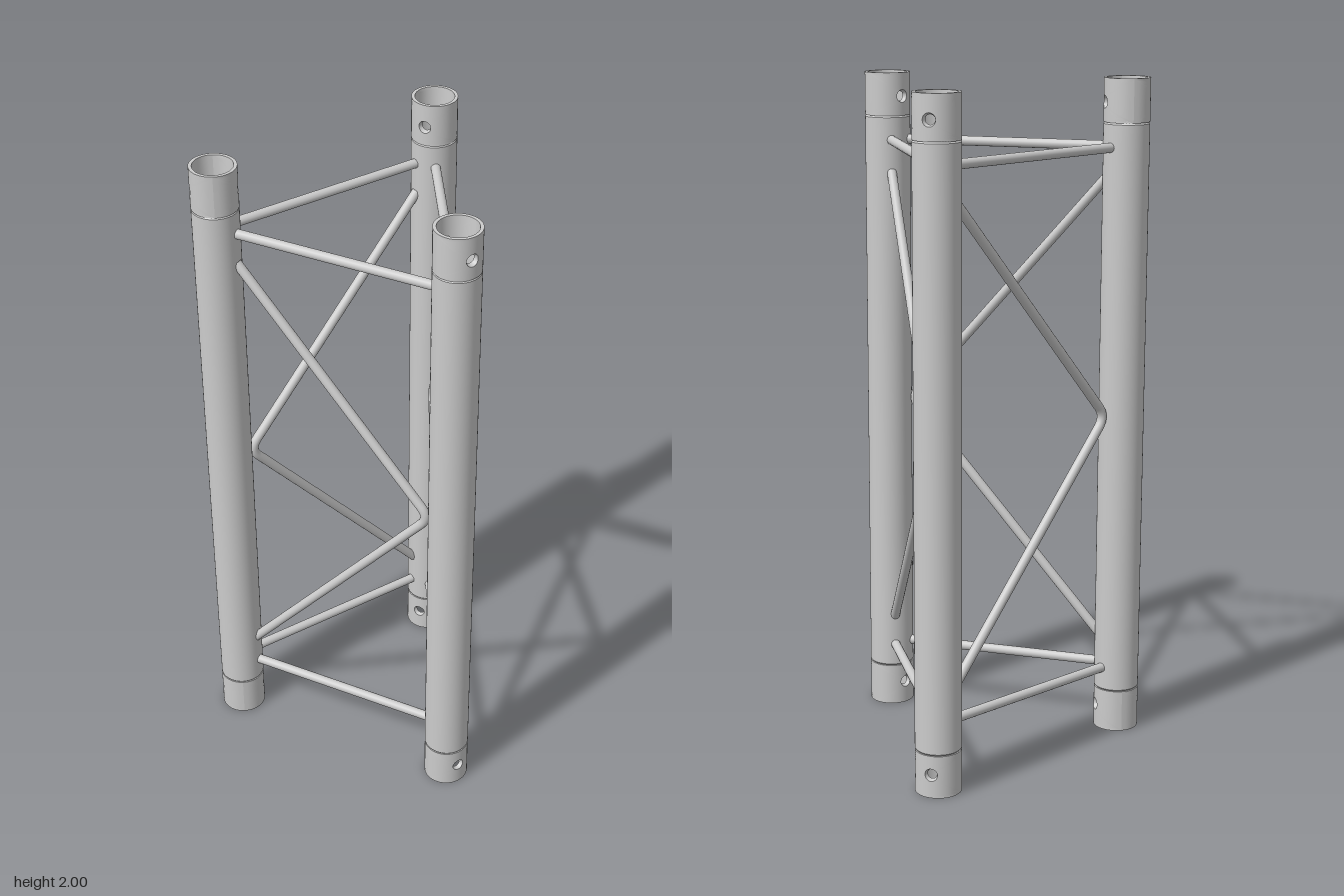
import * as THREE from 'three';
import { mergeGeometries, toCreasedNormals } from 'three/addons/utils/BufferGeometryUtils.js';
import { ParametricGeometry } from 'three/addons/geometries/ParametricGeometry.js';

const R = 0.068;            // chord radius
const BORE = 0.052;         // bore radius
const MOUTH = 0.058;        // bore radius at the open ends
const COLLAR = 0.128;       // collar height
const BAR = 0.0145;         // brace radius
const SEGMENTS = 48;
const material = new THREE.MeshStandardMaterial({ color: 0xcccccc, side: THREE.DoubleSide });
const { lerp } = THREE.MathUtils;

// Crease at a larger scale so that tiny features keep separate vertices.
function crease(geometry) {
  geometry.scale(100, 100, 100);
  return toCreasedNormals(geometry, 0.6).scale(0.01, 0.01, 0.01);
}

function lathe(points) {
  return crease(new THREE.LatheGeometry(points.map(([r, y]) => new THREE.Vector2(r, y)), SEGMENTS));
}

function mesh(name, geometry) {
  const m = new THREE.Mesh(geometry, material);
  m.name = name;
  return m;
}

// Point on the unit square's outline, evenly spaced along each side.
function squarePoint(a) {
  const c = Math.cos(a), s = Math.sin(a);
  return Math.abs(c) >= Math.abs(s)
    ? [Math.sign(c), Math.atan(s / c) * 4 / Math.PI * Math.sign(c)]
    : [Math.atan(c / s) * 4 / Math.PI * Math.sign(s), Math.sign(s)];
}

// Half of a collar wall: bore side, pin hole wall, then outer side.
function halfCollar() {
  const rings = 8, steps = 2 * rings + 1;
  return new ParametricGeometry((u, v, target) => {
    const a = -2 * Math.PI * u;
    const k = Math.round(v * steps);
    const outside = k > rings;
    const t = ((outside ? k - rings - 1 : rings - k) / rings) ** 1.3;
    const hole = outside ? 0.019 : 0.014;
    const [sx, sy] = squarePoint(a);
    const y = lerp(0.07 + hole * Math.sin(a), (sy + 1) * COLLAR / 2, t);
    const r = outside ? R : lerp(MOUTH, BORE, y / COLLAR);
    const phi = lerp(hole / r * Math.cos(a), sx * Math.PI / 2, t);
    target.set(r * Math.sin(phi), y, r * Math.cos(phi));
  }, 96, steps);
}

function collarGeometry() {
  return mergeGeometries([
    crease(halfCollar()),
    crease(halfCollar().rotateY(Math.PI)),
    lathe([[MOUTH, 0], [R, 0]]),
    lathe([[R, COLLAR], [BORE, COLLAR]]),
  ]);
}

// Straight horizontal bar between two points.
function bar(a, b) {
  return new THREE.TubeGeometry(new THREE.LineCurve3(a, b), 1, BAR, 16, false);
}

// One rod bent into a V with a small rounded corner.
function bentRod(start, corner, end) {
  const before = corner.clone().lerp(start, 0.045);
  const after = corner.clone().lerp(end, 0.045);
  const path = new THREE.CurvePath();
  path.add(new THREE.LineCurve3(start, before));
  path.add(new THREE.QuadraticBezierCurve3(before, corner, after));
  path.add(new THREE.LineCurve3(after, end));
  return new THREE.TubeGeometry(path, 160, BAR, 16, false);
}

export function createModel() {
  const group = new THREE.Group();
  group.name = 'triangularTruss';

  const chordShape = lathe([
    [BORE, COLLAR], [0.064, COLLAR], [R, COLLAR + 0.005],
    [R, 1.995 - COLLAR], [0.064, 2 - COLLAR], [BORE, 2 - COLLAR], [BORE, COLLAR],
  ]);
  const collarShape = collarGeometry();

  // Three chords, pin holes pointing away from the middle of the triangle
  const centres = [];
  for (let i = 0; i < 3; i++) {
    const angle = i * 2 * Math.PI / 3;
    const centre = new THREE.Vector3(0.427 * Math.sin(angle), 0, 0.427 * Math.cos(angle) - 0.107);
    centres.push(centre);

    const chord = new THREE.Group();
    chord.name = 'chord' + (i + 1);
    chord.position.copy(centre);
    chord.rotation.y = angle;
    const top = mesh('topCollar', collarShape);
    top.position.y = 2;
    top.rotation.z = Math.PI;
    chord.add(mesh('mainTube', chordShape), mesh('bottomCollar', collarShape), top);
    group.add(chord);
  }

  // Bracing on each face: two cross bars and one bent diagonal
  for (let i = 0; i < 3; i++) {
    const from = centres[i], to = centres[(i + 1) % 3];
    const along = to.clone().sub(from).normalize();
    const onFrom = (y, gap) => from.clone().addScaledVector(along, gap).setY(y);
    const onTo = (y, gap) => to.clone().addScaledVector(along, -gap).setY(y);

    const face = new THREE.Group();
    face.name = 'faceBracing' + (i + 1);
    face.add(
      mesh('lowerBar', bar(onFrom(0.2, 0.06), onTo(0.2, 0.06))),
      mesh('upperBar', bar(onFrom(1.8, 0.06), onTo(1.8, 0.06))),
      mesh('diagonalRod', bentRod(onFrom(1.705, 0.06), onTo(1, 0.07), onFrom(0.295, 0.06))),
    );
    group.add(face);
  }
  return group;
}
